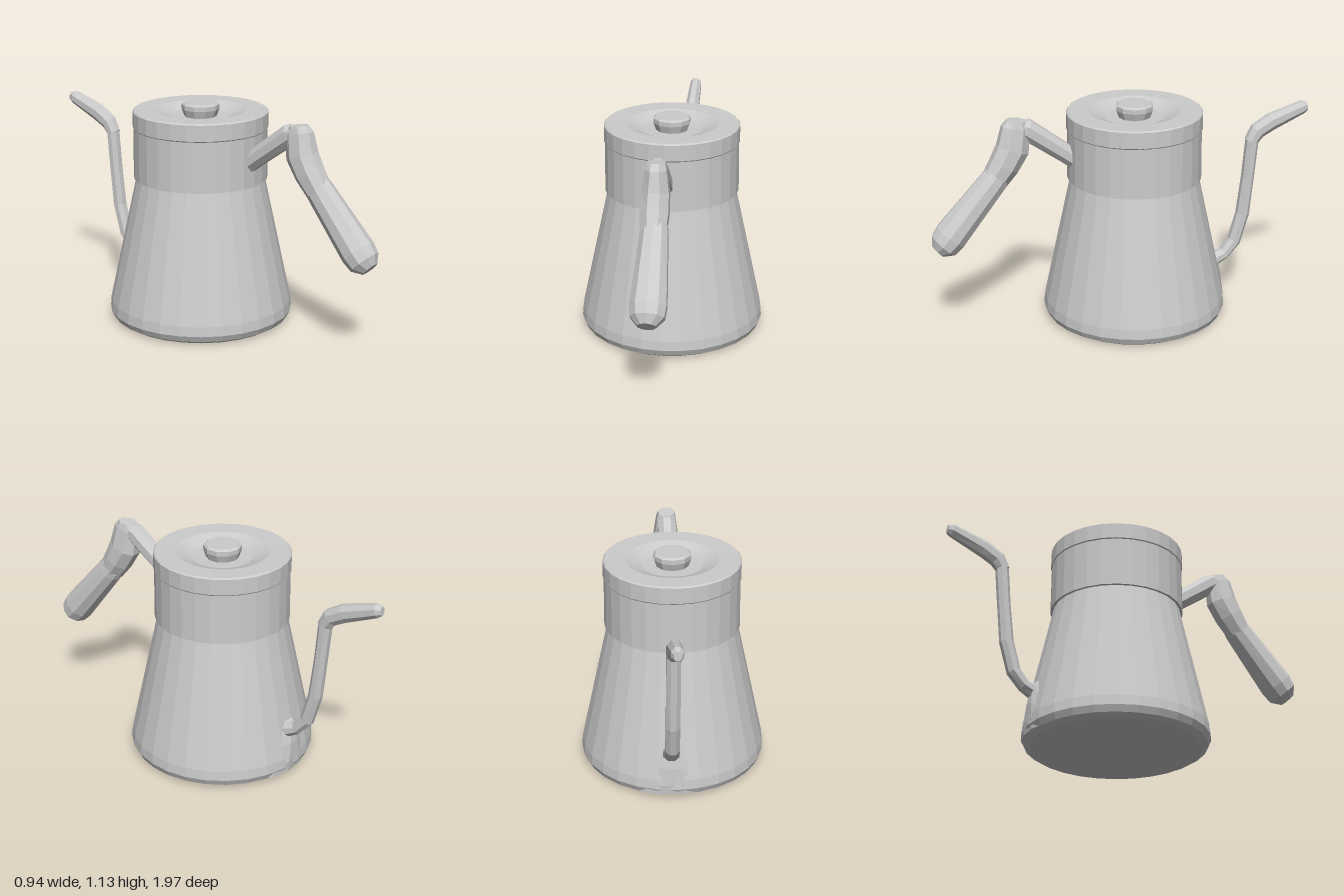
import * as THREE from 'three';

const CZ = -0.065; // axis of the pot
const SIDES = 28;

const material = new THREE.MeshStandardMaterial({ color: 0xcccccc, flatShading: true, side: THREE.DoubleSide });

function lathe(name, profile, sides = SIDES) {
  const pts = profile.map(([r, y]) => new THREE.Vector2(r, y));
  const mesh = new THREE.Mesh(new THREE.LatheGeometry(pts, sides), material);
  mesh.name = name;
  mesh.position.z = CZ;
  return mesh;
}

// Closed loft in the y-z plane. Each section: [z, y, half width in x, half thickness]
function loft(name, sections, sides, x = 0) {
  const pos = [], index = [], n = sections.length;
  sections.forEach(([z, y, hw, ht], i) => {
    const a = sections[Math.max(i - 1, 0)], b = sections[Math.min(i + 1, n - 1)];
    const unit = (p, q) => new THREE.Vector2(q[0] - p[0], q[1] - p[1]).normalize();
    const t = new THREE.Vector2();
    if (i > 0) t.add(unit(a, sections[i]));
    if (i < n - 1) t.add(unit(sections[i], b));
    t.normalize();
    for (let k = 0; k < sides; k++) {
      const ang = ((k + 0.5) / sides) * Math.PI * 2;
      const u = Math.cos(ang) * hw, v = Math.sin(ang) * ht;
      pos.push(x + u, y + t.x * v, z - t.y * v);
    }
  });
  for (let i = 0; i < n - 1; i++) {
    for (let k = 0; k < sides; k++) {
      const a = i * sides + k, b = i * sides + ((k + 1) % sides);
      index.push(a, a + sides, b, b, a + sides, b + sides);
    }
  }
  // end caps
  const last = (n - 1) * sides;
  for (let k = 1; k < sides - 1; k++) {
    index.push(0, k, k + 1, last, last + k + 1, last + k);
  }
  // orient all faces outward
  for (let i = 0; i < index.length; i += 3) [index[i + 1], index[i + 2]] = [index[i + 2], index[i + 1]];
  const geo = new THREE.BufferGeometry();
  geo.setAttribute('position', new THREE.Float32BufferAttribute(pos, 3));
  geo.setIndex(index);
  // signed volume decides the winding
  let vol = 0;
  const p = (j) => new THREE.Vector3().fromArray(pos, index[j] * 3);
  for (let i = 0; i < index.length; i += 3) vol += p(i).dot(p(i + 1).cross(p(i + 2)));
  if (vol < 0) geo.setIndex(index.reverse());
  geo.computeVertexNormals();
  const mesh = new THREE.Mesh(geo, material);
  mesh.name = name;
  return mesh;
}

export function createModel() {
  const kettle = new THREE.Group();
  kettle.name = 'kettle';

  // Tapered body with a bevelled foot
  kettle.add(lathe('body', [
    [0, 0], [0.425, 0], [0.455, 0.018], [0.47, 0.05], [0.466, 0.1], [0.325, 0.75], [0.3, 0.75],
  ]));

  // Straight neck standing slightly proud of the body
  kettle.add(lathe('neck', [[0.3, 0.745], [0.34, 0.745], [0.338, 1.0]]));

  // Lid: flat rim and a shallow dish around the knob
  kettle.add(lathe('lid', [
    [0.338, 1.0], [0.342, 1.005], [0.342, 1.085], [0.335, 1.092], [0.23, 1.09], [0.15, 1.06], [0, 1.055],
  ]));
  kettle.add(lathe('lidKnob', [
    [0.075, 1.04], [0.095, 1.095], [0.095, 1.118], [0.085, 1.127], [0, 1.127],
  ], 10));

  // Spout: flared root on the body, thin gooseneck, pouring tip
  const spout = new THREE.Group();
  spout.name = 'spout';
  spout.add(
    loft('spoutRoot', [
      [-0.43, 0.02, 0.2, 0.1], [-0.43, 0.08, 0.19, 0.105], [-0.44, 0.18, 0.12, 0.09], [-0.46, 0.29, 0.04, 0.05],
    ], 12, 0.02),
    loft('spoutNeck', [
      [-0.47, 0.23, 0.045, 0.045], [-0.55, 0.265, 0.04, 0.032], [-0.605, 0.33, 0.038, 0.036],
      [-0.648, 0.48, 0.037, 0.036], [-0.67, 0.68, 0.037, 0.033], [-0.688, 0.88, 0.037, 0.034],
    ], 8, 0.033),
    loft('spoutTip', [
      [-0.68, 0.87, 0.036, 0.035], [-0.715, 0.925, 0.038, 0.045], [-0.79, 0.968, 0.037, 0.047],
      [-0.96, 1.03, 0.032, 0.036], [-0.985, 1.032, 0.02, 0.024],
    ], 8, 0.033),
  );
  kettle.add(spout);

  // Handle: arm from the neck, elbow, and a fat sloping grip
  const handle = new THREE.Group();
  handle.name = 'handle';
  handle.add(
    loft('handleArm', [
      [0.24, 0.86, 0.05, 0.05], [0.3, 0.905, 0.05, 0.05], [0.49, 1.045, 0.05, 0.055], [0.53, 1.06, 0.045, 0.035],
    ], 8, -0.005),
    loft('handleElbow', [
      [0.535, 1.095, 0.045, 0.05], [0.54, 1.06, 0.055, 0.075], [0.56, 0.95, 0.07, 0.085],
      [0.605, 0.87, 0.073, 0.078], [0.66, 0.79, 0.065, 0.067],
    ], 8, -0.005),
    loft('handleGrip', [
      [0.64, 0.82, 0.064, 0.066], [0.66, 0.795, 0.068, 0.071], [0.885, 0.53, 0.09, 0.085],
      [0.922, 0.487, 0.083, 0.077], [0.953, 0.458, 0.045, 0.042],
    ], 10),
  );
  kettle.add(handle);

  return kettle;
}
